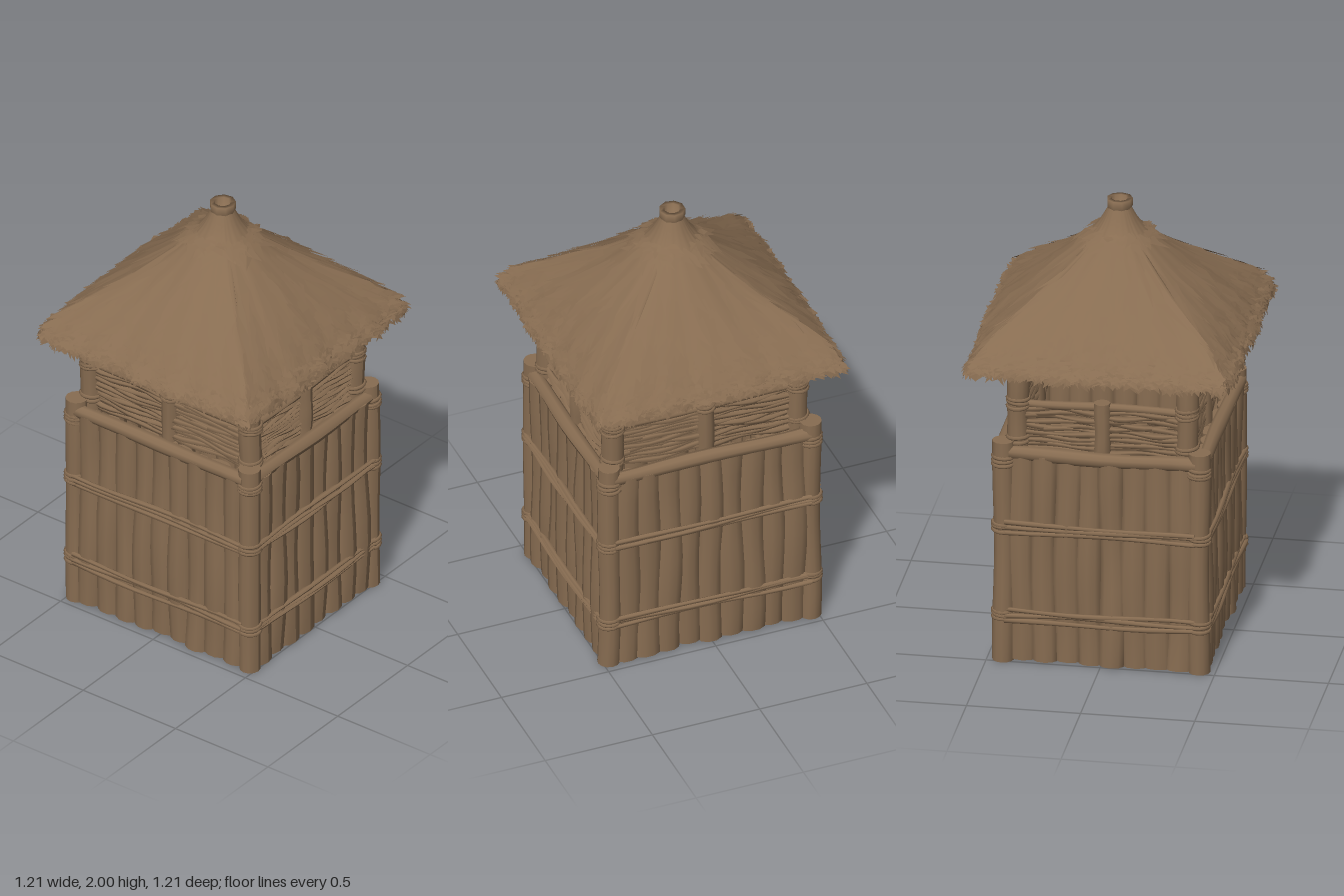
import * as THREE from 'three';

const wood = new THREE.MeshStandardMaterial({ color: 0x876c51 });
wood.name = 'brown wood';
const thatch = new THREE.MeshStandardMaterial({ color: 0x876c51, side: THREE.DoubleSide });
thatch.name = 'brown thatch';

let seed = 7;
const rnd = () => (seed = (seed * 16807) % 2147483647) / 2147483647;
const spread = (s) => (rnd() * 2 - 1) * s;
const V = (x, y, z) => new THREE.Vector3(x, y, z);

// Slightly bent, knobbly log from a to b; flat = [x, z] squash of its section
function log(parent, name, a, b, r, bend = 0.005, knob = 0.06, sides = 9, flat = [1, 1]) {
  const len = a.distanceTo(b);
  const g = new THREE.CylinderGeometry(r, r, len, sides, 8);
  const p = g.attributes.position;
  const p1 = rnd() * 6, p2 = rnd() * 6, p3 = rnd() * 6;
  for (let i = 0; i < p.count; i++) {
    const t = p.getY(i) / len + 0.5;
    const s = 1 + knob * Math.sin(t * 9 + p1);
    p.setX(i, p.getX(i) * s * flat[0] + bend * Math.sin(t * 6 + p2));
    p.setZ(i, p.getZ(i) * s * flat[1] + bend * Math.sin(t * 7 + p3));
  }
  g.computeVertexNormals();
  const m = new THREE.Mesh(g, wood);
  m.name = name;
  m.position.copy(a).add(b).multiplyScalar(0.5);
  m.quaternion.setFromUnitVectors(V(0, 1, 0), b.clone().sub(a).normalize());
  parent.add(m);
}

// Rope wound around an upright post
function wrap(parent, x, y, z, r, turns = 3) {
  for (let i = 0; i < turns; i++) {
    const m = new THREE.Mesh(new THREE.TorusGeometry(r, 0.009, 5, 14), wood);
    m.name = 'ropeWrap';
    m.position.set(x, y + (i - (turns - 1) / 2) * 0.017, z);
    m.rotation.set(Math.PI / 2 + spread(0.12), spread(0.12), 0);
    parent.add(m);
  }
}

// Four sides: at(s, y, out) places s along the side, out from its wall plane
function sides(hx, hz) {
  return [
    { half: hx, end: false, at: (s, y, o) => V(s, y, hz + o) },
    { half: hx, end: false, at: (s, y, o) => V(-s, y, -hz - o) },
    { half: hz, end: true, at: (s, y, o) => V(hx + o, y, -s) },
    { half: hz, end: true, at: (s, y, o) => V(-hx - o, y, s) },
  ];
}

function makeBase() {
  const base = new THREE.Group();
  base.name = 'palisadeBase';
  for (const x of [-0.427, 0.427]) for (const z of [-0.468, 0.468]) {
    log(base, 'cornerPost', V(x, 0, z), V(x, 1.03, z), 0.048, 0.003, 0.04, 12);
    for (const y of [0.22, 0.63, 0.94]) wrap(base, x, y, z, 0.048);
  }
  for (const side of sides(0.427, 0.468)) {
    const n = side.end ? 9 : 8;
    const w = (side.half * 2 - 0.06) / n;
    // Upright wall logs, broad and slightly flattened
    for (let i = 0; i < n; i++) {
      const s = (i + 0.5 - n / 2) * w;
      const wide = w * (0.56 + rnd() * 0.1) / 0.042;
      log(base, 'wallLog', side.at(s, 0.003 + rnd() * 0.01, spread(0.005)),
        side.at(s + spread(0.008), 0.975, spread(0.005)), 0.042, 0.005, 0.05, 10, side.end ? [1, wide] : [wide, 1]);
    }
    // Lashed cross poles
    const e = side.half - 0.01;
    for (const y of [0.22, 0.63]) {
      for (const dy of [-0.018, 0, 0.02]) {
        log(base, 'crossPole', side.at(-e, y + dy + spread(0.008), 0.041), side.at(e, y + dy + spread(0.008), 0.041), 0.011, 0.005, 0.15, 6);
      }
      log(base, 'innerCrossPole', side.at(-e, y, -0.045), side.at(e, y, -0.045), 0.015, 0.005, 0.1, 6);
    }
    log(base, 'topBeam', side.at(-e, 0.975, 0.015), side.at(e, 0.975, 0.015), 0.032, 0.004);
  }
  return base;
}

function makeLookout() {
  const top = new THREE.Group();
  top.name = 'lookout';
  const X = 0.37, Z = 0.43;
  for (const x of [-X, X]) {
    for (const z of [-Z, Z]) {
      log(top, 'roofPost', V(x, 0.95, z), V(x, 1.5, z), 0.048, 0.003, 0.04, 12);
      wrap(top, x, 1.2, z, 0.047);
      wrap(top, x, 1.03, z, 0.047, 2);
    }
    log(top, 'middleRoofPost', V(x, 0.95, 0), V(x, 1.55, 0), 0.041, 0.003, 0.04, 10);
    wrap(top, x, 1.2, 0, 0.042, 2);
  }
  for (const side of sides(X, Z)) {
    const e = side.half;
    log(top, 'railing', side.at(-e, 1.195, 0), side.at(e, 1.195, 0), 0.019, 0.003);
    log(top, 'eaveBeam', side.at(-e - 0.04, 1.46, 0), side.at(e + 0.04, 1.46, 0), 0.025, 0.003);
    if (!side.end) log(top, 'shortRailPost', side.at(0, 0.97, 0.01), side.at(0, 1.222, 0.01), 0.037, 0.002, 0.04);
    // Woven panels
    for (const k of [-1, 1]) {
      for (let i = 0; i < 11; i++) {
        const y = 0.99 + i * 0.0185;
        for (const o of [-0.008, 0.008]) {
          log(top, 'wovenStick', side.at(k * 0.02, y + spread(0.005), o), side.at(k * (e - 0.02), y + spread(0.005), o), 0.012, 0.006, 0.25, 5);
        }
      }
    }
  }
  return top;
}

// Roof profile (half width, height), round at the peak and squaring off toward the eaves
const profile = new THREE.CatmullRomCurve3([[0.05, 1.96], [0.09, 1.89], [0.155, 1.82], [0.305, 1.69],
  [0.455, 1.555], [0.535, 1.465], [0.567, 1.41], [0.58, 1.35]].map(([h, y]) => V(h, y, 0)));

function roofPoint(t, u, lift = 0) {
  const q = profile.getPoint(Math.min(u, 1));
  const k = Math.floor(t), f = 2 * (t - k) - 1, a = k * Math.PI / 2;
  const p = V(Math.cos(a) - f * Math.sin(a), 0, Math.sin(a) + f * Math.cos(a));
  const round = p.clone().normalize();
  p.lerp(round, 1 - THREE.MathUtils.smoothstep(q.x, 0.08, 0.62) * 0.97);
  const flute = 0.005 * Math.sin(t * Math.PI * 12) + 0.005 * Math.sin(t * Math.PI * 5 + 1);
  p.multiplyScalar(q.x + lift * 0.6 + flute * u);
  p.y = q.y + lift * 0.7;
  return p;
}

function meshFrom(name, pos, index) {
  const g = new THREE.BufferGeometry();
  g.setAttribute('position', new THREE.Float32BufferAttribute(pos, 3));
  if (index) g.setIndex(index);
  g.computeVertexNormals();
  const m = new THREE.Mesh(g, thatch);
  m.name = name;
  return m;
}

// Pointed straw tufts lying along the slope between two profile ranges
function tufts(name, count, u0, u1, length, width, lift, drop = 0) {
  const pos = [];
  for (let i = 0; i < count; i++) {
    const t = (i + rnd()) / count * 4 + 4;
    const u = u0 + (u1 - u0) * Math.sqrt(rnd());
    const l = length * (0.6 + rnd() * 0.6), w = width * (0.6 + rnd() * 0.8) / Math.max(0.25, u);
    const rise = lift * (0.2 + rnd());
    const root = roofPoint(t, u, -0.004);
    const left = roofPoint(t - w, u + l * 0.6, rise * 0.5);
    const right = roofPoint(t + w, u + l * 0.6, rise * 0.5);
    const tip = roofPoint(t + spread(w * 2), u + l, rise);
    tip.y -= drop * rnd();
    for (const v of [root, right, left, left, right, tip]) pos.push(v.x, v.y, v.z);
  }
  return meshFrom(name, pos);
}

function makeRoof() {
  const roof = new THREE.Group();
  roof.name = 'thatchedRoof';
  // Main shell
  const nT = 96, nU = 16, pos = [], index = [];
  for (let j = 0; j <= nU; j++) for (let i = 0; i <= nT; i++) {
    const v = roofPoint(i / nT * 4, j / nU * 0.88);
    pos.push(v.x, v.y, v.z);
    if (i < nT && j < nU) {
      const a = j * (nT + 1) + i, b = a + nT + 1;
      index.push(a, a + 1, b, a + 1, b + 1, b);
    }
  }
  roof.add(meshFrom('thatchShell', pos, index));
  roof.add(tufts('slopeStraw', 1300, 0.22, 0.78, 0.2, 0.011, 0.02));
  roof.add(tufts('eaveStraw', 1000, 0.66, 0.86, 0.15, 0.013, 0.03));
  roof.add(tufts('eaveFringe', 900, 0.8, 0.88, 0.13, 0.014, 0.022, 0.025));
  roof.add(tufts('peakFringe', 130, 0.14, 0.22, 0.12, 0.025, 0.025));
  // Open collar at the peak
  const ring = [[0.045, 1.9], [0.05, 1.955], [0.057, 1.965], [0.057, 2], [0.036, 2], [0.036, 1.96], [0.001, 1.96]];
  const collar = new THREE.Mesh(new THREE.LatheGeometry(ring.map(([x, y]) => new THREE.Vector2(x, y)), 9), thatch);
  collar.name = 'peakCollar';
  roof.add(collar);
  // Rafters under the thatch
  for (let k = 0; k < 8; k++) {
    const t = k / 2, a = roofPoint(t, 0.74), b = roofPoint(t, 0.2);
    a.y -= 0.035; b.y -= 0.035;
    log(roof, 'rafter', a, b, 0.018, 0.003);
  }
  return roof;
}

export function createModel() {
  const model = new THREE.Group();
  model.name = 'watchtower';
  model.add(makeBase(), makeLookout(), makeRoof());
  return model;
}
